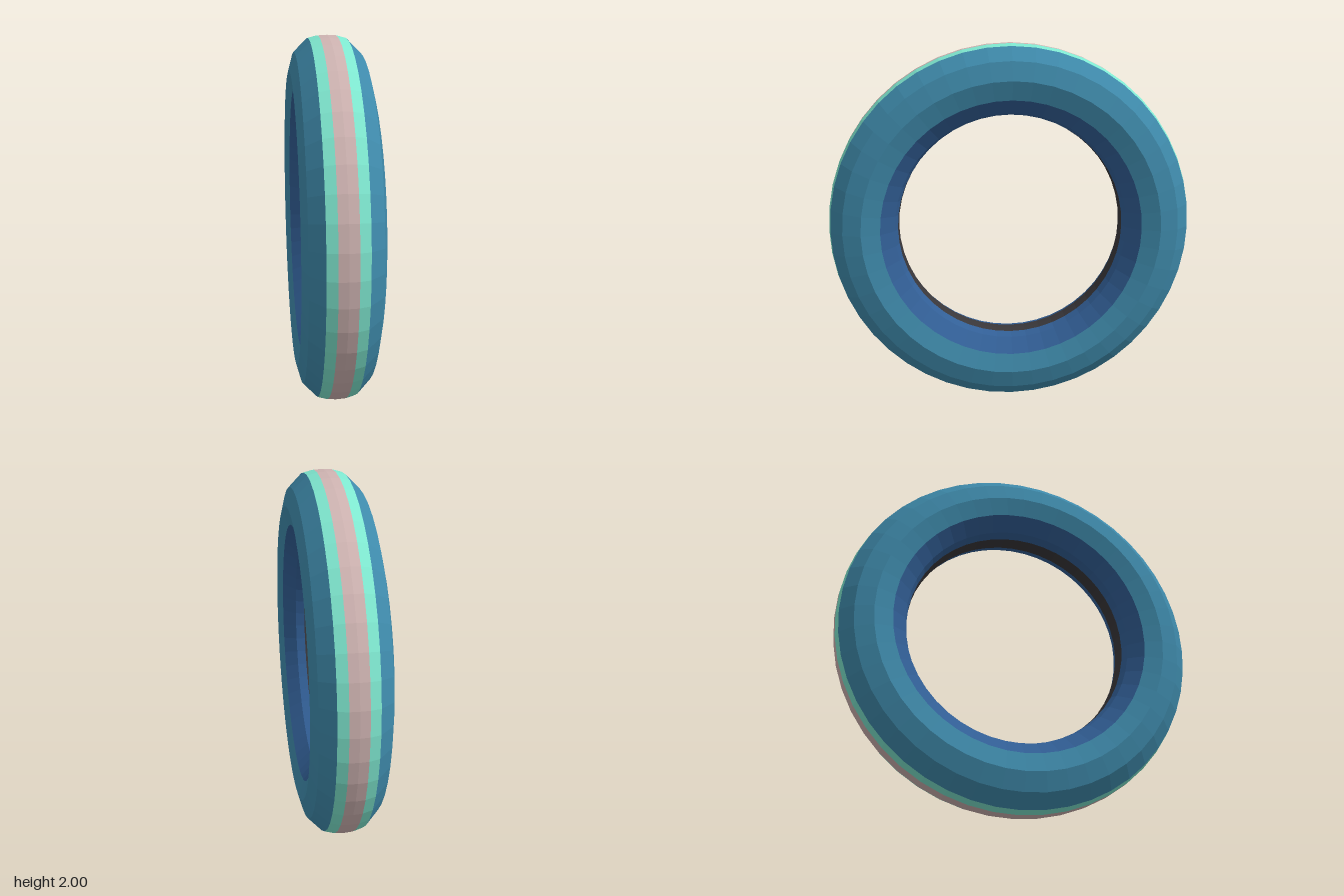
import * as THREE from 'three';

const SEGMENTS = 48;

// Revolves a strip of the ring's cross-section, given as [radius, x] points, about the x axis with flat facets.
function strip(name, points, material) {
  const profile = points.map(([r, x]) => new THREE.Vector2(r, x));
  const geometry = new THREE.LatheGeometry(profile, SEGMENTS).toNonIndexed();
  geometry.computeVertexNormals();
  geometry.rotateZ(-Math.PI / 2);
  const mesh = new THREE.Mesh(geometry, material);
  mesh.name = name;
  return mesh;
}

// Mirrors a strip to the other side, keeping its faces pointing outward.
const mirror = (points) => points.map(([r, x]) => [r, -x]).reverse();

function colour(name, hex) {
  const material = new THREE.MeshStandardMaterial({ color: hex });
  material.name = name;
  return material;
}

export function createModel() {
  const blue = colour('sea blue', 0x3f8bac);
  const teal = colour('mint', 0x7fe8d0);
  const pink = colour('dusty pink', 0xceb3b1);
  const navy = colour('deep blue', 0x325f96);
  const black = colour('charcoal', 0x39373a);

  const ring = new THREE.Group();
  ring.name = 'ring';

  // Centre bands on the outer and inner rims
  ring.add(strip('outerCentreBand', [[0.997, -0.048], [1, 0], [0.997, 0.048]], pink));
  ring.add(strip('innerCentreBand', [[0.623, 0.048], [0.62, 0], [0.623, -0.048]], black));

  // Paired strips, from the outer rim round the side to the inner rim
  const sides = [
    ['OuterStripe', [[0.997, 0.048], [0.983, 0.1]], teal],
    ['SideWall', [[0.983, 0.1], [0.91, 0.173], [0.81, 0.2], [0.71, 0.173]], blue],
    ['InnerWall', [[0.71, 0.173], [0.637, 0.1], [0.623, 0.048]], navy],
  ];
  for (const [name, points, material] of sides) {
    ring.add(strip('left' + name, points, material));
    ring.add(strip('right' + name, mirror(points), material));
  }

  // Stand the ring on the ground
  ring.position.y = 1;
  const model = new THREE.Group();
  model.name = 'ringModel';
  model.add(ring);
  return model;
}
